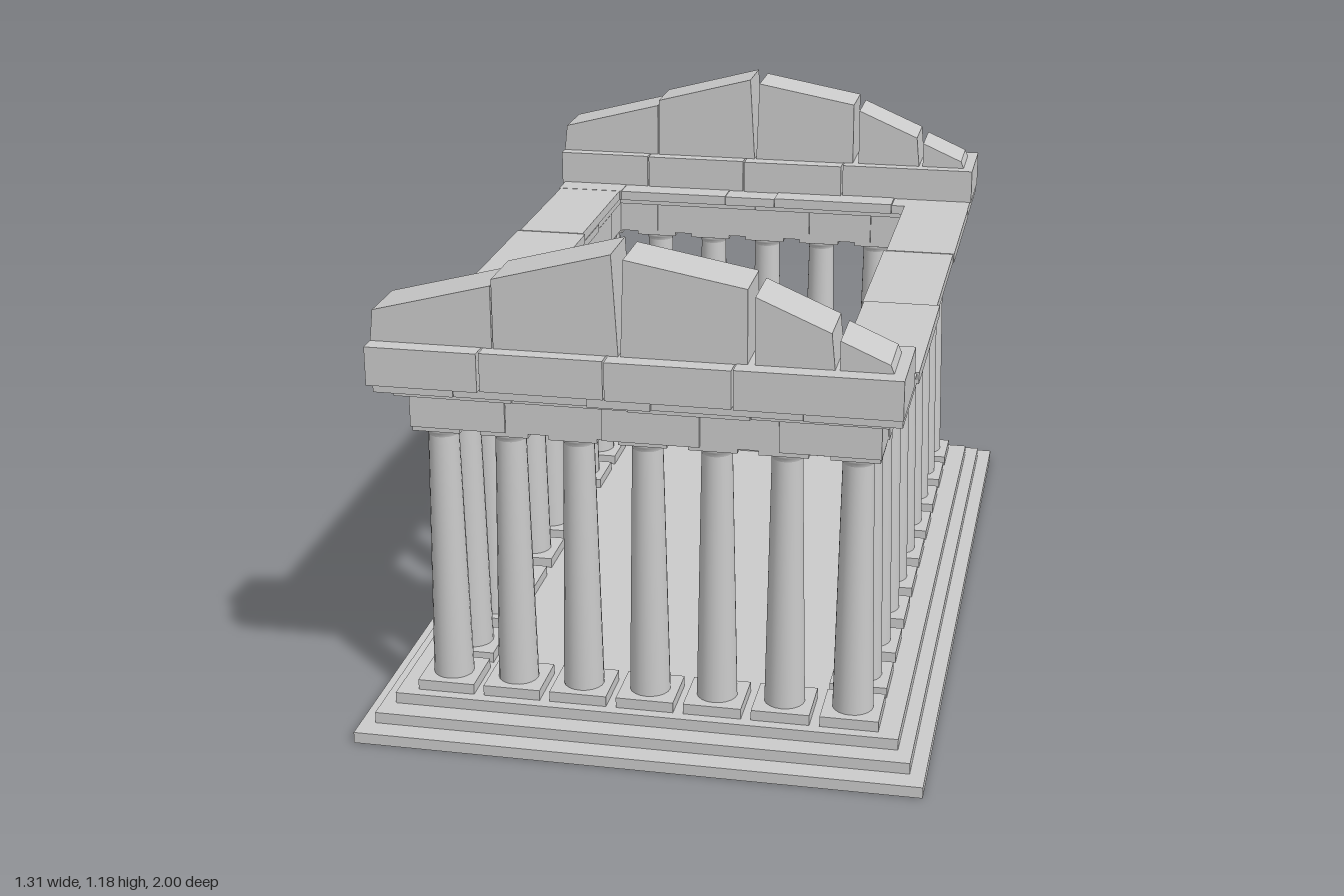
import * as THREE from 'three';

const mat = new THREE.MeshStandardMaterial({ color: 0xcccccc });

function add(parent, geo, name) {
  const m = new THREE.Mesh(geo, mat);
  m.name = name;
  parent.add(m);
  return m;
}

// Box given by its minimum and maximum on each axis
function block(parent, name, x0, x1, y0, y1, z0, z1) {
  const m = add(parent, new THREE.BoxGeometry(x1 - x0, y1 - y0, z1 - z0), name);
  m.position.set((x0 + x1) / 2, (y0 + y1) / 2, (z0 + z1) / 2);
  return m;
}

// Small repeatable offset that makes neighbouring stones uneven
const wobble = (i) => 0.004 * Math.sin(i * 2.4 + 0.7);

// Column: square plinth, tapered shaft, flared capital and abacus
const shaftProfile = [[0, 0.105], [0.047, 0.105], [0.042, 0.4], [0.035, 0.705]];
const capitalProfile = [[0.035, 0.705], [0.037, 0.714], [0.047, 0.727], [0, 0.727]];
const lathe = (pts) => new THREE.LatheGeometry(pts.map((p) => new THREE.Vector2(...p)), 20);
const shaftGeo = new THREE.CylinderGeometry(0.035, 0.047, 0.605, 20, 1, true).translate(0, 0.4075, 0);
const capitalGeo = lathe(capitalProfile);
const plinthGeo = new THREE.BoxGeometry(0.134, 0.025, 0.134).translate(0, 0.0925, 0);
const abacusGeo = new THREE.BoxGeometry(0.11, 0.012, 0.11).translate(0, 0.732, 0);

function column(parent, x, z) {
  const c = new THREE.Group();
  c.name = 'column';
  add(c, plinthGeo, 'plinth');
  add(c, shaftGeo, 'shaft');
  add(c, capitalGeo, 'capital');
  add(c, abacusGeo, 'abacus');
  c.position.set(x, 0, z);
  parent.add(c);
}

// One course of stones around the rectangle, split at the given joints
function course(parent, name, y0, y1, outer, inner, xJoints, zJoints) {
  const ring = new THREE.Group();
  ring.name = name;
  const [ox, oz] = outer, [ix, iz] = inner;
  for (const s of [-1, 1]) {
    const xs = [-ox, ...xJoints, ox];
    for (let i = 0; i < xs.length - 1; i++) {
      const a = s * iz, b = s * (oz + wobble(i + s));
      block(ring, name + 'EndStone', xs[i], xs[i + 1] - 0.001, y0, y1 + wobble(i) * 0.3,
        Math.min(a, b), Math.max(a, b));
    }
    const zs = [-iz, ...zJoints, iz];
    for (let i = 0; i < zs.length - 1; i++) {
      const a = s * (ix + wobble(i + 3)), b = s * (ox + wobble(i + s));
      block(ring, name + 'SideStone', Math.min(a, b), Math.max(a, b),
        y0, y1 + wobble(i + 1) * 0.3, zs[i], zs[i + 1] - 0.002);
    }
  }
  parent.add(ring);
}

// Broken gable stones, outlined in x and y
const gableStones = [
  [[-0.59, 0.958], [-0.315, 0.958], [-0.315, 1.1], [-0.582, 1.03]],
  [[-0.312, 0.958], [-0.035, 0.958], [-0.048, 1.185], [-0.312, 1.115]],
  [[-0.03, 0.958], [0.246, 0.958], [0.246, 1.126], [-0.022, 1.175]],
  [[0.262, 0.958], [0.433, 0.958], [0.425, 1.04], [0.262, 1.11]],
  [[0.443, 0.958], [0.558, 0.958], [0.55, 0.978], [0.443, 1.025]],
];

function gable(parent, name, z0, z1) {
  const g = new THREE.Group();
  g.name = name;
  for (const pts of gableStones) {
    const shape = new THREE.Shape(pts.map((p) => new THREE.Vector2(...p)));
    const geo = new THREE.ExtrudeGeometry(shape, { depth: z1 - z0, bevelEnabled: false });
    add(g, geo.translate(0, 0, z0), 'gableStone');
  }
  parent.add(g);
}

export function createModel() {
  const temple = new THREE.Group();
  temple.name = 'temple';

  // Stepped platform
  [[0.655, 1], [0.62, 0.947], [0.587, 0.893]].forEach(([x, z], i) =>
    block(temple, 'step', -x, x, i * 0.0267, (i + 1) * 0.0267, -z, z));

  // Colonnade: seven columns across, ten along
  const cols = new THREE.Group();
  cols.name = 'colonnade';
  const zRow = [0.8, 0.638, 0.458, 0.275, 0.095, -0.085, -0.265, -0.447, -0.627, -0.8];
  zRow.forEach((z, j) => {
    for (let i = 0; i < 7; i++) {
      if (j === 0 || j === 9 || i === 0 || i === 6) column(cols, -0.472 + i * 0.1573, z);
    }
  });
  temple.add(cols);

  // Three overhanging courses of beams
  course(temple, 'architrave', 0.737, 0.826, [0.53, 0.86], [0.415, 0.742],
    [-0.31, -0.09, 0.13, 0.305], [-0.6, -0.26, 0.09, 0.36, 0.63]);
  course(temple, 'frieze', 0.826, 0.847, [0.55, 0.905], [0.408, 0.71],
    [-0.28, -0.02, 0.25], [-0.42, -0.1, 0.3]);
  course(temple, 'upperBeam', 0.847, 0.872, [0.582, 0.945], [0.402, 0.672],
    [-0.4, -0.1, 0.04, 0.37], [-0.24, 0.19]);

  // Heavy cornice stones and broken gables at both ends
  const joints = [-0.59, -0.335, -0.058, 0.222, 0.588];
  for (const s of [-1, 1]) {
    const cornice = new THREE.Group();
    cornice.name = s > 0 ? 'frontCornice' : 'backCornice';
    for (let i = 0; i < 4; i++) {
      const a = s * (0.74 + wobble(i)), b = s * (0.963 + wobble(i + 2 + s));
      block(cornice, 'corniceStone', joints[i], joints[i + 1] - 0.004,
        0.87, 0.958 + wobble(i) * 0.3, Math.min(a, b), Math.max(a, b));
    }
    temple.add(cornice);
  }
  gable(temple, 'frontGable', 0.786, 0.924);
  gable(temple, 'backGable', -0.916, -0.776);

  return temple;
}
